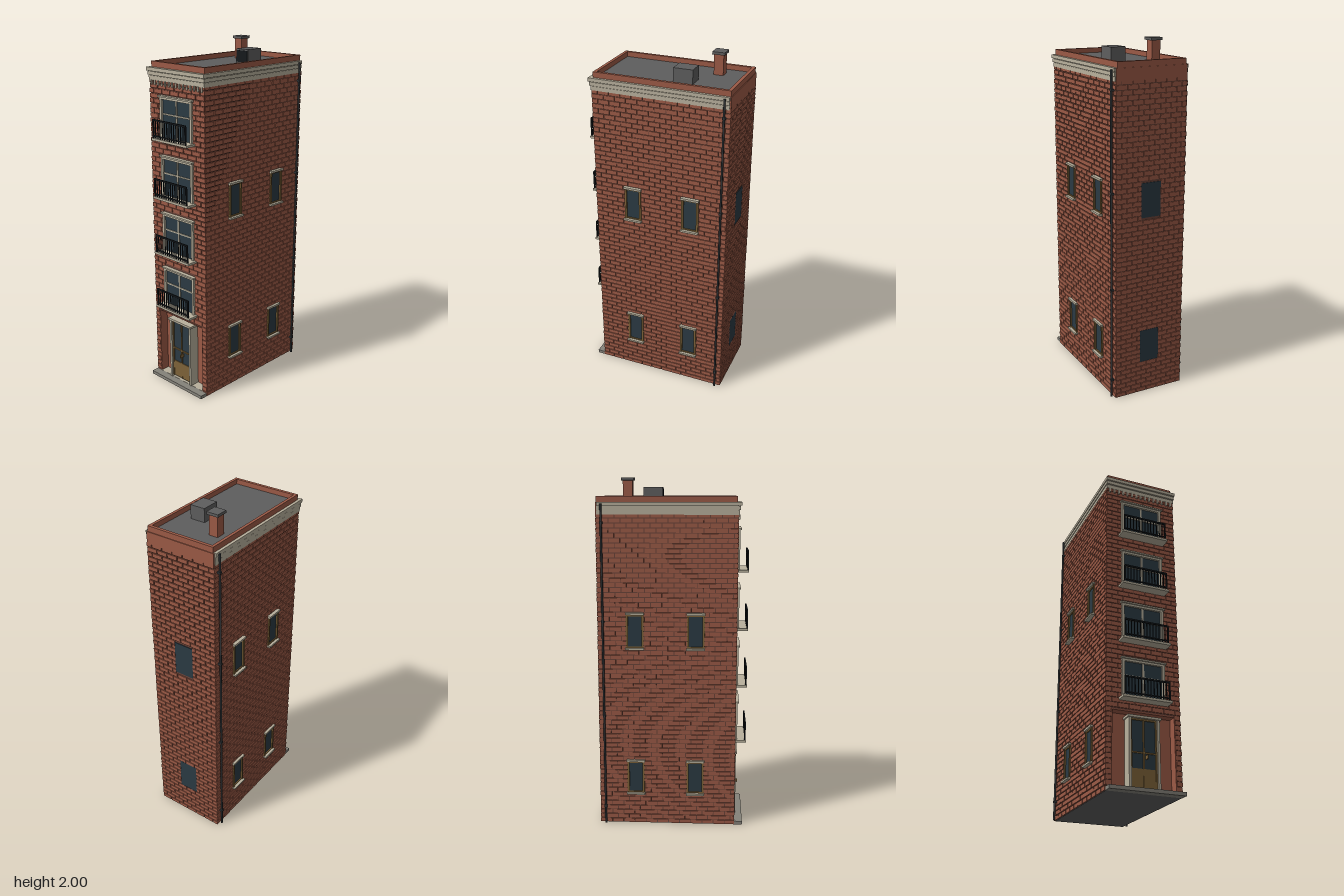
import * as THREE from 'three';
import { mergeGeometries } from 'three/addons/utils/BufferGeometryUtils.js';

const mat = (name, color) => {
  const m = new THREE.MeshStandardMaterial({ color });
  m.name = name;
  return m;
};

export function createModel() {
  const brick = mat('brick', 0x9b5a46), mortar = mat('mortar', 0x6a4338), cream = mat('cream stone', 0xb8b09c);
  const glass = mat('window glass', 0x2b3a43), wood = mat('wood', 0x7d6238), iron = mat('black iron', 0x14181b);
  const grey = mat('roof grey', 0x5e5e5e), stone = mat('step stone', 0x85827a), pipe = mat('drainpipe', 0x33373a);
  const root = new THREE.Group();
  root.name = 'townhouse';

  // box geometry from its limits
  const span = (x0, x1, y0, y1, z0, z1) =>
    new THREE.BoxGeometry(x1 - x0, y1 - y0, z1 - z0).translate((x0 + x1) / 2, (y0 + y1) / 2, (z0 + z1) / 2);
  const add = (name, material, geos, parent = root) => {
    const mesh = new THREE.Mesh(mergeGeometries([].concat(geos)), material);
    mesh.name = name;
    parent.add(mesh);
    return mesh;
  };
  const group = (name) => {
    const g = new THREE.Group();
    g.name = name;
    root.add(g);
    return g;
  };

  const X = 0.21, ZB = -0.417, ZF = 0.362, TOP = 1.81;
  const floors = [0.495, 0.828, 1.161, 1.494];
  const sideRows = [[0.19, 0.385], [1.055, 1.25]];
  const sideCols = [-0.21, 0.135];

  // core walls, leaving the entrance open at the front
  add('wallCore', mortar, [
    span(-X, X, 0.005, TOP, ZB, 0.31),
    span(-X, X, 0.43, TOP, 0.31, ZF),
    span(-X, -0.18, 0.005, 0.43, 0.31, ZF),
    span(0.18, X, 0.005, 0.43, 0.31, ZF),
  ]);
  add('entranceLining', brick, [
    span(-0.18, 0.18, 0.02, 0.43, 0.309, 0.314),
    span(-0.182, -0.177, 0.02, 0.43, 0.31, 0.366),
    span(0.177, 0.182, 0.02, 0.43, 0.31, 0.366),
    span(-0.18, 0.18, 0.426, 0.432, 0.31, 0.366),
  ]);
  add('baseSlab', grey, span(-X, X, 0, 0.006, ZB, ZF));

  // running-bond bricks on a wall from u0 to u1, cut around openings [u0, u1, v0, v1]
  const bricks = (u0, u1, holes) => {
    const course = TOP / 66, length = 0.066, gap = 0.005, out = [];
    for (let row = 0; row < 66; row++) {
      const v0 = row * course + gap / 2, v1 = v0 + course - gap;
      for (let u = u0 - (row % 2) * length / 2; u < u1; u += length) {
        let parts = [[Math.max(u + gap / 2, u0), Math.min(u + length - gap / 2, u1)]];
        for (const [a, b, c, d] of holes) {
          if (v1 <= c || v0 >= d) continue;
          parts = parts.flatMap(([s, e]) => [[s, Math.min(e, a)], [Math.max(s, b), e]]);
        }
        for (const [s, e] of parts) if (e - s > 0.004) out.push(span(s, e, v0, v1, -0.003, 0.005));
      }
    }
    return mergeGeometries(out);
  };
  const frontHoles = floors.map((y) => [-0.125, 0.125, y, y + 0.23]);
  frontHoles.push([-0.18, 0.18, 0, 0.43]);
  add('frontBricks', brick, bricks(-0.215, 0.215, frontHoles).translate(0, 0, ZF));
  const backHoles = sideRows.map(([a, b]) => [-0.06, 0.06, a, b]);
  add('backBricks', brick, bricks(-0.215, 0.215, backHoles).rotateY(Math.PI).translate(0, 0, ZB));
  for (const s of [-1, 1]) {
    const holes = sideRows.flatMap(([a, b]) => sideCols.map((z) => [-s * z - 0.048, -s * z + 0.048, a, b]));
    const from = s > 0 ? -ZF : ZB, to = s > 0 ? -ZB : ZF;
    add(s > 0 ? 'leftBricks' : 'rightBricks', brick, bricks(from, to, holes).rotateY(s * Math.PI / 2).translate(s * X, 0, 0));
  }

  // front windows with balconies
  for (const y of floors) {
    const g = group('balconyWindow');
    add('pane', glass, span(-0.113, 0.113, y, y + 0.22, ZF, 0.366), g);
    add('surround', cream, [
      span(-0.125, -0.11, y, y + 0.225, ZF, 0.378),
      span(0.11, 0.125, y, y + 0.225, ZF, 0.378),
      span(-0.125, 0.125, y + 0.21, y + 0.225, ZF, 0.378),
      span(-0.132, 0.132, y + 0.222, y + 0.231, ZF, 0.386),
      span(-0.005, 0.005, y, y + 0.212, ZF, 0.371),
      span(-0.112, 0.112, y + 0.125, y + 0.133, ZF, 0.371),
    ], g);
    add('balconySlab', cream, span(-0.141, 0.141, y - 0.013, y, ZF, 0.429), g);
    const rails = [
      span(-0.13, 0.13, y + 0.097, y + 0.106, 0.42, 0.428),
      span(-0.13, 0.13, y + 0.01, y + 0.017, 0.421, 0.427),
    ];
    for (let i = 0; i <= 14; i++) {
      const x = -0.127 + i * 0.254 / 14, r = i % 14 ? 0.0022 : 0.004;
      rails.push(span(x - r, x + r, y, y + 0.1, 0.424 - r, 0.424 + r));
    }
    add('railing', iron, rails, g);
  }

  // side windows
  for (const s of [-1, 1]) for (const z of sideCols) for (const [a, b] of sideRows) {
    const g = group('sideWindow');
    const plate = (x, y0, y1, z0, z1) => span(Math.min(s * 0.208, s * x), Math.max(s * 0.208, s * x), y0, y1, z + z0, z + z1);
    add('pane', glass, plate(0.213, a, b, -0.044, 0.044), g);
    add('frame', wood, [
      plate(0.222, a, b, -0.05, -0.038), plate(0.222, a, b, 0.038, 0.05),
      plate(0.219, b - 0.012, b, -0.04, 0.04), plate(0.219, a, a + 0.01, -0.04, 0.04),
    ], g);
    add('sillAndLintel', cream, [
      plate(0.235, a - 0.008, a + 0.003, -0.053, 0.053), plate(0.23, b - 0.004, b + 0.008, -0.053, 0.053),
    ], g);
  }

  // plain back windows
  for (const [a, b] of sideRows) add('backWindow', glass, span(-0.06, 0.06, a, b, ZB - 0.004, ZB + 0.003));

  // entrance door and stoop
  const door = group('door');
  add('doorSurround', cream, [
    span(-0.088, -0.074, 0.02, 0.4, 0.312, 0.374),
    span(0.074, 0.088, 0.02, 0.4, 0.312, 0.374),
    span(-0.095, 0.095, 0.395, 0.408, 0.312, 0.38),
  ], door);
  add('doorGlass', glass, span(-0.075, 0.075, 0.03, 0.395, 0.312, 0.358), door);
  add('doorWood', wood, [
    span(-0.075, 0.075, 0.03, 0.13, 0.35, 0.362),
    span(-0.075, -0.066, 0.03, 0.395, 0.35, 0.365),
    span(0.066, 0.075, 0.03, 0.395, 0.35, 0.365),
    span(-0.004, 0.004, 0.03, 0.395, 0.35, 0.364),
    span(-0.07, 0.07, 0.21, 0.218, 0.35, 0.364),
    span(-0.07, 0.07, 0.386, 0.396, 0.35, 0.365),
    span(0.01, 0.015, 0.18, 0.2, 0.36, 0.386),
  ], door);
  add('entranceFloor', cream, span(-0.18, 0.18, 0.005, 0.021, 0.31, 0.368));
  add('frontStep', stone, span(-0.212, 0.212, 0, 0.02, 0.36, 0.412));

  // stepped cornice on the front and sides, with dentils on the front
  add('cornice', cream, [
    span(-0.216, 0.216, 1.8, 1.823, -0.415, 0.37),
    span(-0.219, 0.219, 1.826, 1.846, -0.415, 0.376),
    span(-0.222, 0.222, 1.849, 1.869, -0.415, 0.382),
    span(-0.213, 0.213, 1.8, 1.866, -0.414, 0.366),
  ]);
  const dentils = [];
  for (let i = 0; i < 15; i++) dentils.push(span(-0.201 + i * 0.028, -0.191 + i * 0.028, 1.773, 1.801, ZF, 0.373));
  add('dentils', cream, dentils);
  add('backTopCourse', brick, span(-0.212, 0.212, TOP - 0.01, 1.868, -0.422, -0.41));

  // parapet and roof
  add('parapet', brick, [
    span(-0.206, -0.189, 1.86, 1.9, -0.418, 0.358),
    span(0.189, 0.206, 1.86, 1.9, -0.418, 0.358),
    span(-0.19, 0.19, 1.86, 1.9, -0.418, -0.4),
    span(-0.19, 0.19, 1.86, 1.9, 0.34, 0.358),
  ]);
  add('roof', grey, span(-0.192, 0.192, 1.855, 1.872, -0.405, 0.345));

  // chimney and roof unit
  add('chimney', brick, span(-0.129, -0.077, 1.87, 1.986, -0.277, -0.223));
  add('chimneyCap', grey, span(-0.138, -0.068, 1.985, 2, -0.285, -0.215));
  add('roofUnit', grey, span(0.028, 0.117, 1.87, 1.95, -0.177, -0.068));
  add('roofUnitGrille', iron, span(0.033, 0.112, 1.878, 1.942, -0.069, -0.064));

  // drainpipes with brackets
  for (const s of [-1, 1]) {
    const parts = [new THREE.CylinderGeometry(0.006, 0.006, 1.86, 10).translate(s * 0.226, 0.93, -0.39)];
    for (const y of [0.1, 0.65, 1.2, 1.75]) parts.push(span(s * 0.222 - 0.01, s * 0.222 + 0.01, y, y + 0.012, -0.398, -0.382));
    add('drainpipe', pipe, parts);
  }
  return root;
}
